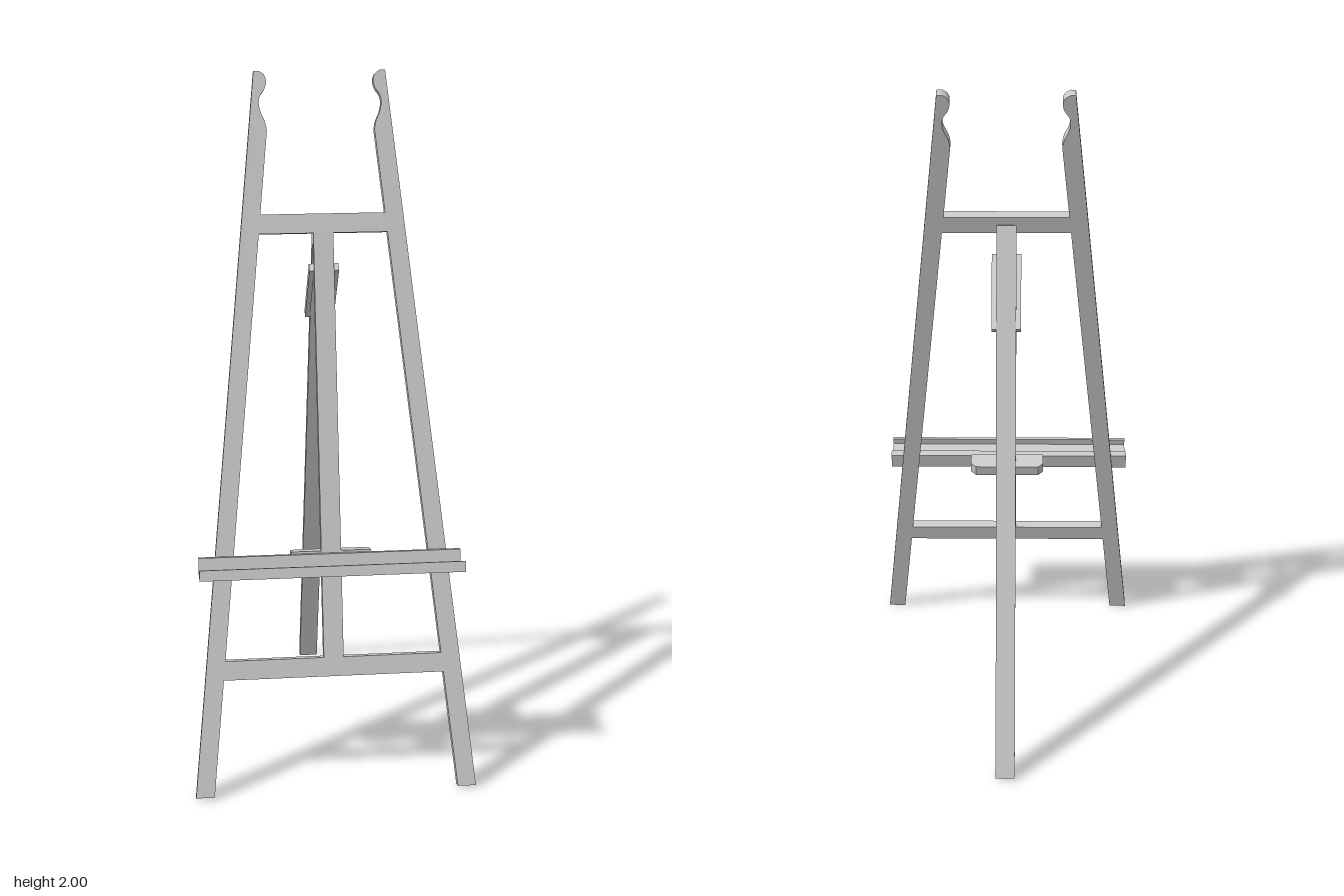
import * as THREE from 'three';
import { toCreasedNormals } from 'three/addons/utils/BufferGeometryUtils.js';

const material = new THREE.MeshStandardMaterial({ color: 0xcccccc });
const T = 0.029; // thickness of the front frame
const TILT = -0.261; // backward lean of the front frame

function add(parent, name, geometry, x = 0, y = 0, z = 0) {
  const mesh = new THREE.Mesh(geometry, material);
  mesh.name = name;
  mesh.position.set(x, y, z);
  parent.add(mesh);
  return mesh;
}

const box = (w, h, d) => new THREE.BoxGeometry(w, h, d);

// Straight bar between two points in the y-z plane
function bar(parent, name, x, from, to, width, thickness) {
  const dy = to[0] - from[0], dz = to[1] - from[1];
  const mesh = add(parent, name, box(width, Math.hypot(dy, dz), thickness),
    x, (from[0] + to[0]) / 2, (from[1] + to[1]) / 2);
  mesh.rotation.x = Math.atan2(dz, dy);
  return mesh;
}

// Tapering side leg with a curved notch and rounded knob at the top
function legGeometry(side) {
  const v = (x, y) => new THREE.Vector2(side * x, y);
  const shape = new THREE.Shape();
  shape.moveTo(side * 0.352, 0);
  shape.lineTo(side * 0.405, 0);
  shape.lineTo(side * 0.187, 2.062);
  shape.lineTo(side * 0.172, 2.062);
  shape.splineThru([
    v(0.158, 2.052), v(0.152, 2.034), v(0.157, 2.012), v(0.170, 1.992),
    v(0.174, 1.972), v(0.169, 1.945), v(0.158, 1.92), v(0.153, 1.895),
  ]);
  shape.closePath();
  const geometry = new THREE.ExtrudeGeometry(shape, { depth: T, bevelEnabled: false, curveSegments: 4 });
  geometry.translate(0, 0, -T / 2);
  return toCreasedNormals(geometry, 0.6);
}

// Trapezoid rail whose ends follow the slanting legs
function railGeometry(y0, y1) {
  const inner = (y) => 0.354 - 0.1047 * y;
  const shape = new THREE.Shape([
    new THREE.Vector2(-inner(y0), y0), new THREE.Vector2(inner(y0), y0),
    new THREE.Vector2(inner(y1), y1), new THREE.Vector2(-inner(y1), y1),
  ]);
  return new THREE.ExtrudeGeometry(shape, { depth: T, bevelEnabled: false }).translate(0, 0, -T / 2);
}

// Clamp block with chamfered rear corners
function clampGeometry() {
  const w = 0.115, back = 0.042, front = -T / 2, c = 0.016;
  const shape = new THREE.Shape([
    new THREE.Vector2(-w, front), new THREE.Vector2(w, front),
    new THREE.Vector2(w, back - c), new THREE.Vector2(w - c, back),
    new THREE.Vector2(-w + c, back), new THREE.Vector2(-w, back - c),
  ]);
  const geometry = new THREE.ExtrudeGeometry(shape, { depth: 0.036, bevelEnabled: false });
  return geometry.rotateX(-Math.PI / 2).translate(0, -0.018, 0);
}

export function createModel() {
  const model = new THREE.Group();
  model.name = 'easel';

  // Leaning front frame
  const frame = new THREE.Group();
  frame.name = 'frontFrame';
  frame.position.set(0, 0.0038, 0.4635);
  frame.rotation.x = TILT;
  model.add(frame);

  add(frame, 'leftLeg', legGeometry(1));
  add(frame, 'rightLeg', legGeometry(-1));
  add(frame, 'lowerRail', railGeometry(0.336, 0.391));
  add(frame, 'upperRail', railGeometry(1.604, 1.659));
  add(frame, 'centrePost', box(0.057, 1.213, T), 0, 0.9975, 0);

  // Canvas tray with back board, shelf and front lip
  const tray = new THREE.Group();
  tray.name = 'tray';
  tray.position.x = -0.005;
  frame.add(tray);
  add(tray, 'trayBackBoard', box(0.75, 0.05, 0.0225), 0, 0.667, 0.0258);
  add(tray, 'trayShelf', box(0.75, 0.009, 0.088), 0, 0.6425, 0.08);
  add(tray, 'trayLip', box(0.75, 0.03, 0.009), 0, 0.653, 0.1195);
  add(frame, 'trayClamp', clampGeometry(), 0, 0.68, 0);

  // Rear leg and the pair of arms holding it to the post
  bar(model, 'rearLeg', 0, [0.004, -0.468], [1.575, 0.033], 0.057, 0.025);
  for (const side of [1, -1]) {
    bar(model, side > 0 ? 'leftBraceArm' : 'rightBraceArm', side * 0.0355,
      [1.462, 0.08], [1.29, -0.064], 0.014, 0.025);
  }
  return model;
}
